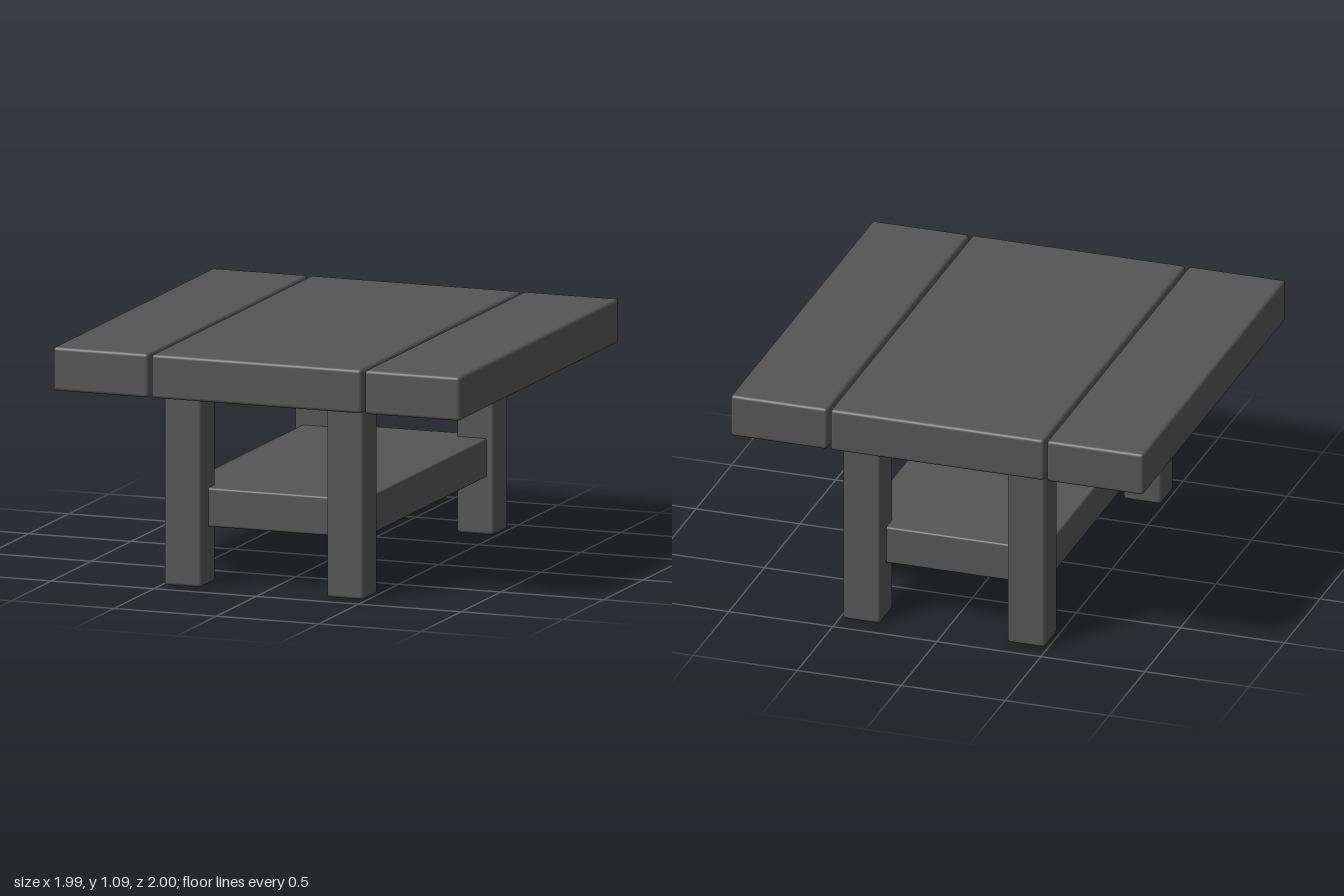
import * as THREE from 'three';
import { RoundedBoxGeometry } from 'three/addons/geometries/RoundedBoxGeometry.js';

export function createModel() {
  const table = new THREE.Group();
  table.name = 'table';
  const darkGrey = new THREE.MeshStandardMaterial({ color: 0x555555 });
  darkGrey.name = 'darkGrey';

  // Softly rounded block given by its extents on each axis
  function block(name, [x0, x1], [y0, y1], [z0, z1], radius = 0.015) {
    const geometry = new RoundedBoxGeometry(x1 - x0, y1 - y0, z1 - z0, 3, radius);
    const mesh = new THREE.Mesh(geometry, darkGrey);
    mesh.name = name;
    mesh.position.set((x0 + x1) / 2, (y0 + y1) / 2, (z0 + z1) / 2);
    table.add(mesh);
  }

  // Top: a wide middle plank between two narrow ones
  const topY = [0.882, 1.085];
  block('middlePlank', [-0.513, 0.513], topY, [-1, 1]);
  block('leftPlank', [0.528, 0.993], topY, [-1, 1]);
  block('rightPlank', [-0.993, -0.528], topY, [-1, 1]);

  // Four square legs
  for (const [side, sx] of [['Left', 1], ['Right', -1]]) {
    for (const [end, sz] of [['front', 1], ['back', -1]]) {
      const x = 0.396 * sx, z = 0.816 * sz, h = 0.09;
      block(`${end}${side}Leg`, [x - h, x + h], [0, 0.89], [z - h, z + h]);
    }
  }

  // Thick lower shelf let into the legs
  block('shelf', [-0.452, 0.452], [0.267, 0.447], [-0.815, 0.815], 0.01);

  return table;
}
